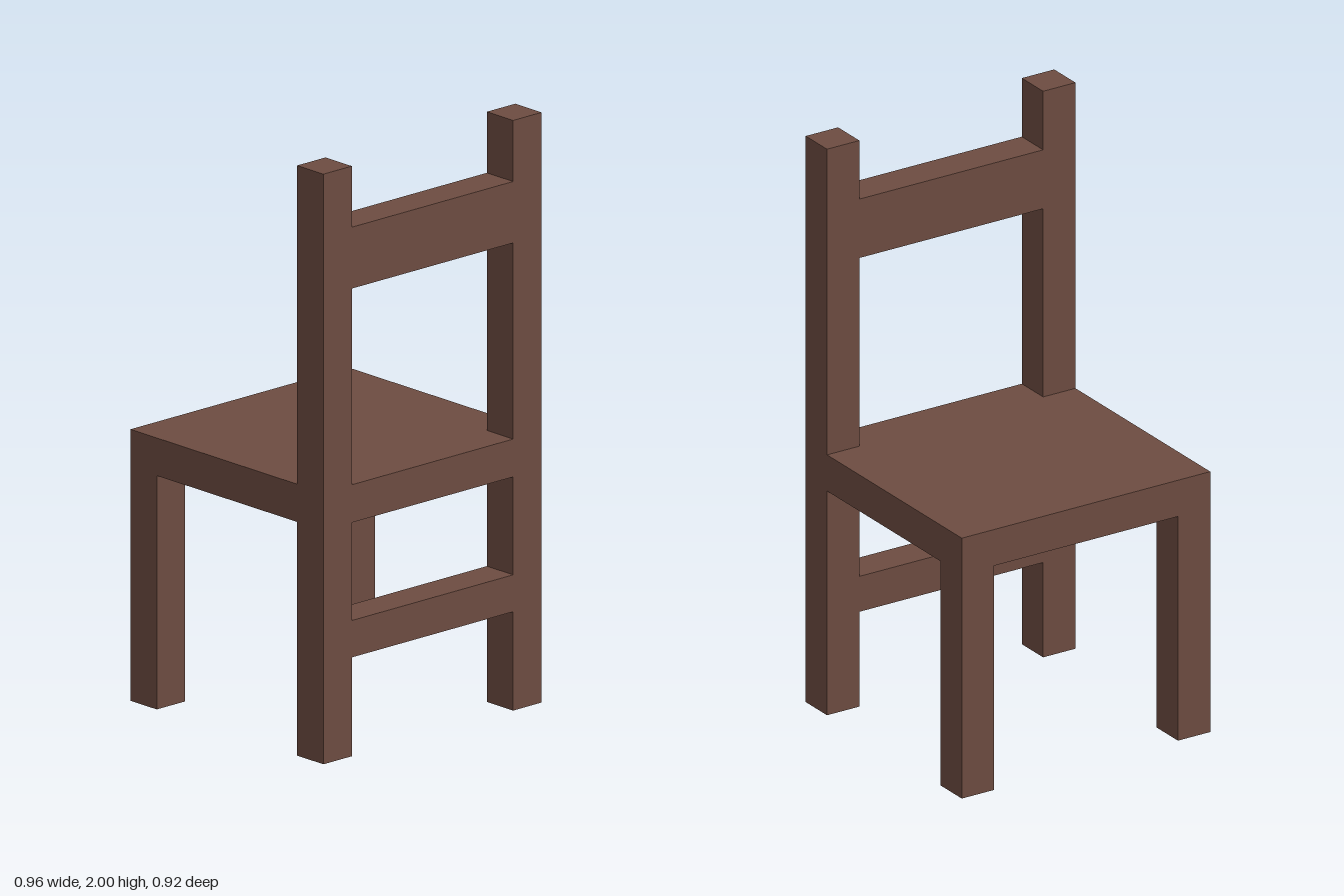
import * as THREE from 'three';

export function createModel() {
  const chair = new THREE.Group();
  chair.name = 'chair';
  const wood = new THREE.MeshStandardMaterial({ color: 0x6d4c41 });

  const W = 0.48, D = 0.458, T = 0.125; // half width, half depth, timber thickness
  const innerX = W - T, innerZ = D - T;
  const seatBottom = 0.792, seatTop = 0.92;

  const add = (name, geometry) => {
    const mesh = new THREE.Mesh(geometry, wood);
    mesh.name = name;
    chair.add(mesh);
    return mesh;
  };
  // Box given by its lower and upper corners
  const box = (name, [x0, y0, z0], [x1, y1, z1]) =>
    add(name, new THREE.BoxGeometry(x1 - x0, y1 - y0, z1 - z0))
      .position.set((x0 + x1) / 2, (y0 + y1) / 2, (z0 + z1) / 2);

  // Tall backrest posts (+z) and short legs (-z), mirrored
  for (const [side, x] of [['left', innerX], ['right', -W]]) {
    box(side + 'Post', [x, 0, innerZ], [x + T, 2, D]);
    box(side + 'Leg', [x, 0, -D], [x + T, seatBottom, -innerZ]);
  }

  // Seat board, notched around the posts
  const outline = [[-W, -D], [W, -D], [W, innerZ], [innerX, innerZ],
    [innerX, D], [-innerX, D], [-innerX, innerZ], [-W, innerZ]];
  const seat = new THREE.ExtrudeGeometry(
    new THREE.Shape(outline.map(([x, z]) => new THREE.Vector2(x, z))),
    { depth: seatTop - seatBottom, bevelEnabled: false });
  seat.rotateX(Math.PI / 2).translate(0, seatTop, 0);
  add('seat', seat);

  // Rails between the posts
  box('lowerRail', [-innerX, 0.335, innerZ], [innerX, 0.46, D]);
  box('backRail', [-innerX, 1.585, innerZ], [innerX, 1.793, D]);

  return chair;
}
